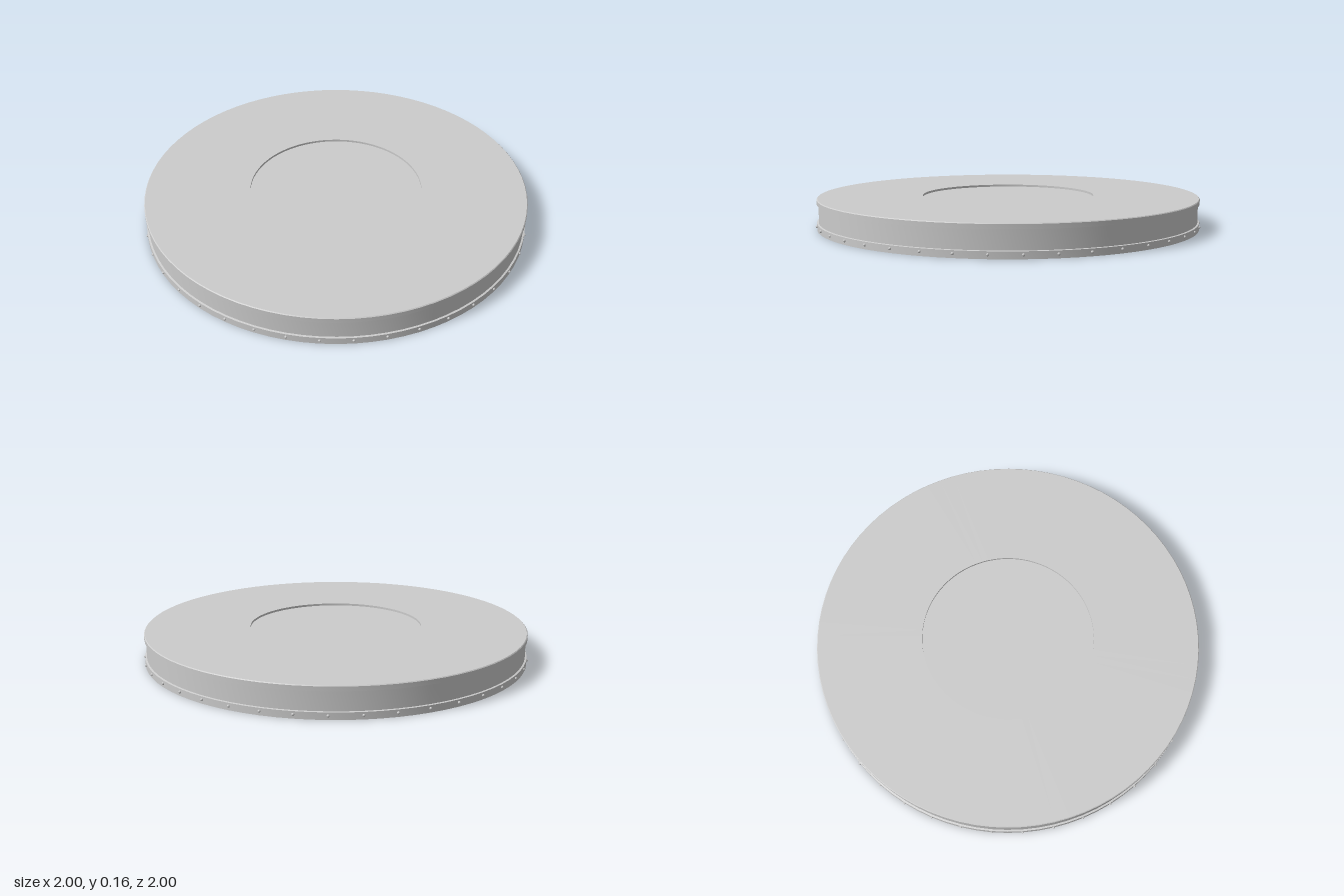
import * as THREE from 'three';
import { toCreasedNormals } from 'three/addons/utils/BufferGeometryUtils.js';

const SEGMENTS = 80;
const RIVETS = 40;

export function createModel() {
  const group = new THREE.Group();
  const material = new THREE.MeshStandardMaterial({ color: 0xcccccc });

  // Turned part: profile runs from the bottom outwards, up and back in
  const addTurned = (name, profile) => {
    const points = profile.map(([r, y]) => new THREE.Vector2(r, y));
    const geometry = toCreasedNormals(new THREE.LatheGeometry(points, SEGMENTS), 0.5);
    const mesh = new THREE.Mesh(geometry, material);
    mesh.name = name;
    group.add(mesh);
  };

  // Bottom plate with its raised band
  addTurned('baseBand', [[0, 0], [0.992, 0], [0.992, 0.035], [0.983, 0.037]]);

  // Slightly set-back side wall
  addTurned('sideWall', [[0.983, 0.035], [0.983, 0.134]]);

  // Overhanging top rim, flat deck and the step down into the centre
  addTurned('topRim', [
    [0.983, 0.132], [0.992, 0.132], [0.992, 0.154], [0.988, 0.158],
    [0.447, 0.158], [0.447, 0.147],
  ]);

  // Sunken round panel in the middle of the deck
  addTurned('centrePanel', [[0.447, 0.147], [0, 0.147]]);

  // Ring of small rivets around the base band
  const rivets = new THREE.Group();
  rivets.name = 'rivets';
  const rivetGeometry = new THREE.SphereGeometry(0.007, 10, 8);
  for (let i = 0; i < RIVETS; i++) {
    const angle = (i / RIVETS) * Math.PI * 2;
    const rivet = new THREE.Mesh(rivetGeometry, material);
    rivet.name = 'rivet';
    rivet.position.set(Math.sin(angle) * 0.993, 0.02, Math.cos(angle) * 0.993);
    rivets.add(rivet);
  }
  group.add(rivets);

  return group;
}
